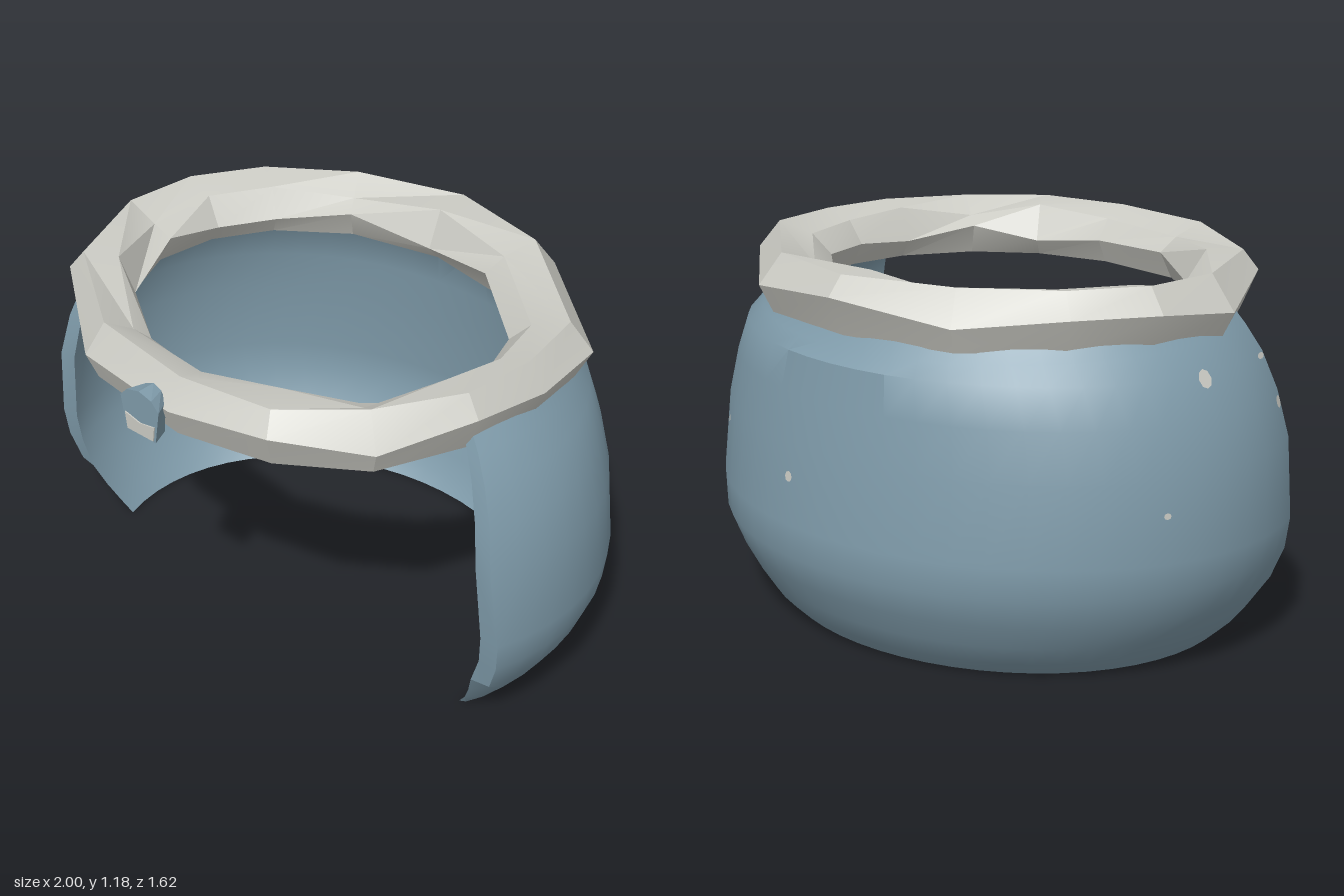
import * as THREE from 'three';
import { toCreasedNormals } from 'three/addons/utils/BufferGeometryUtils.js';

// Shell rows: y, half width, back z, outer front-edge z, inner front-edge z, thickness
const ROWS = [
  [0.00, 0.78, -0.64, 0.19, 0.20, 0.015],
  [0.05, 0.835, -0.69, 0.18, 0.22, 0.03],
  [0.12, 0.895, -0.73, 0.165, 0.25, 0.045],
  [0.20, 0.945, -0.77, 0.27, 0.28, 0.055],
  [0.30, 0.985, -0.81, 0.29, 0.29, 0.06],
  [0.40, 1.00, -0.805, 0.30, 0.30, 0.06],
  [0.65, 0.98, -0.775, 0.315, 0.31, 0.055],
  [0.80, 0.94, -0.75, 0.29, 0.29, 0.05],
  [0.92, 0.885, -0.73, 0.265, 0.265, 0.045],
  [1.00, 0.83, -0.69, 0.24, 0.24, 0.04],
  [1.06, 0.78, -0.65, 0.22, 0.22, 0.03],
];
const CZ = 0.03;

// Skin a grid of equal cross-section loops; extra triangles may be added as index pairs
function loft(loops, closedAlong, extra = []) {
  const n = loops[0].length, m = loops.length, index = [];
  for (let s = 0; s < (closedAlong ? m : m - 1); s++) {
    const t = (s + 1) % m;
    for (let k = 0; k < n; k++) {
      const l = (k + 1) % n;
      index.push(s * n + k, t * n + k, t * n + l, s * n + k, t * n + l, s * n + l);
    }
  }
  index.push(...extra);
  const g = new THREE.BufferGeometry();
  g.setAttribute('position', new THREE.Float32BufferAttribute(loops.flat(2), 3));
  g.setIndex(index);
  return g;
}

// Point on a row; phi 0 = left side, PI/2 = back, PI = right side
function rowPoint([y, rx, back, , , t], phi, inner) {
  const inset = inner ? t : 0;
  const dip = y > 0.95 ? 0.04 * Math.max(0, Math.sin(phi)) : 0;
  return [(rx - inset) * Math.cos(phi), y - dip, CZ - (CZ - back - inset) * Math.sin(phi)];
}

function shellGeometry() {
  const N = 32, n = ROWS.length, loops = [];
  for (let s = 0; s <= N; s++) {
    const at = (row, inner) => {
      const rz = CZ - row[2] - (inner ? row[5] : 0);
      const a = Math.asin((row[inner ? 4 : 3] - CZ) / rz);
      return rowPoint(row, -a + (Math.PI + 2 * a) * s / N, inner);
    };
    loops.push([...ROWS.map(r => at(r, false)), ...[...ROWS].reverse().map(r => at(r, true))]);
  }
  // Front rims joining the outer and inner skins
  const extra = [], end = N * 2 * n;
  for (let k = 0; k < n - 1; k++) {
    const o = k, p = k + 1, i = 2 * n - 1 - k, j = i - 1;
    extra.push(o, p, j, o, j, i);
    extra.push(end + o, end + j, end + p, end + o, end + i, end + j);
  }
  return toCreasedNormals(loft(loops, false, extra), 0.6);
}

// Faceted collar: uneven outer outline, oval opening
function collarGeometry() {
  const outline = [[0.83, -0.02], [0.79, 0.24], [0.65, 0.52], [0.41, 0.71], [0.08, 0.77],
    [-0.33, 0.71], [-0.7, 0.43], [-0.87, 0.08], [-0.82, -0.19], [-0.67, -0.42],
    [-0.4, -0.63], [0, -0.73], [0.39, -0.66], [0.8, -0.3]];
  const loops = outline.map(([x, z], i) => {
    const a = Math.atan2((z - CZ) / 0.535, x / 0.62);
    const ix = 0.62 * Math.cos(a), iz = CZ + 0.535 * Math.sin(a);
    const w = 0.025 * Math.sin(i * 2.4);
    // f runs from the opening (0) to the outer edge (1)
    const p = (f, y) => [ix + (x - ix) * f, y, iz + (z - iz) * f];
    return [p(0.25 - w, 1.15 + w), p(0.72 + 2 * w, 1.18), p(1, 1.095 + w),
      p(0.8 - 2 * w, 0.995), p(0.2, 1.0), p(0, 1.075 - w)];
  });
  return toCreasedNormals(loft(loops, true), 0.35);
}

// Skin position at a height, interpolated between rows
function skin(phi, y, inner) {
  let k = 0;
  while (k < ROWS.length - 2 && ROWS[k + 1][0] < y) k++;
  const f = (y - ROWS[k][0]) / (ROWS[k + 1][0] - ROWS[k][0]);
  const a = new THREE.Vector3(...rowPoint(ROWS[k], phi, inner));
  return a.lerp(new THREE.Vector3(...rowPoint(ROWS[k + 1], phi, inner)), f);
}

export function createModel() {
  const model = new THREE.Group();
  const blue = new THREE.MeshStandardMaterial({ color: 0x7f9baa });
  blue.name = 'slate blue';
  const grey = new THREE.MeshStandardMaterial({ color: 0xcbcbc4 });
  grey.name = 'pale grey';
  const add = (name, geometry, material) => {
    const mesh = new THREE.Mesh(geometry, material);
    mesh.name = name;
    model.add(mesh);
    return mesh;
  };

  add('capeShell', shellGeometry(), blue);
  add('collarRing', collarGeometry(), grey);

  // Front clasp with a pale lower plate
  const plate = (points, depth) => new THREE.ExtrudeGeometry(
    new THREE.Shape(points.map(p => new THREE.Vector2(...p))), { depth, bevelEnabled: false });
  const clasp = plate([[-0.06, 0.99], [0.06, 0.99], [0.078, 1.1], [0.05, 1.13],
    [0, 1.143], [-0.05, 1.13], [-0.078, 1.1]], 0.06);
  const pos = clasp.attributes.position;
  for (let i = 0; i < pos.count; i++) if (pos.getZ(i) < 0.01) pos.setX(i, pos.getX(i) * 0.6);
  clasp.computeVertexNormals();
  add('clasp', clasp, blue).position.z = 0.745;
  add('claspPlate', plate([[-0.053, 0.995], [0.053, 0.995], [0.06, 1.045], [0, 1.035],
    [-0.06, 1.05]], 0.004), grey).position.z = 0.805;

  // Small pale flecks: angle in degrees, height, half width, half height, on inner skin
  const flecks = [
    [188, 0.905, 0.024, 0.03, false], [195, 0.91, 0.025, 0.01, false],
    [197, 0.77, 0.018, 0.02, false], [158, 0.545, 0.012, 0.01, false],
    [82, 0.55, 0.017, 0.017, false], [82, 0.545, 0.016, 0.014, true],
    [52, 0.6, 0.01, 0.012, false], [33, 0.35, 0.01, 0.012, false],
    [22, 0.4, 0.012, 0.014, true],
  ];
  flecks[0][0] = 172;
  for (const [deg, y, w, h, inner] of flecks) {
    const phi = deg * Math.PI / 180, p = skin(phi, y, inner);
    const along = skin(phi + 0.05, y, inner).sub(skin(phi - 0.05, y, inner));
    const up = skin(phi, y + 0.03, inner).sub(skin(phi, y - 0.03, inner));
    const normal = along.cross(up).normalize().multiplyScalar(inner ? -1 : 1);
    const fleck = add('fleck', new THREE.CircleGeometry(1, 8), grey);
    fleck.scale.set(w, h, 1);
    fleck.position.copy(p).addScaledVector(normal, 0.006);
    fleck.lookAt(fleck.position.clone().add(normal));
  }
  return model;
}
